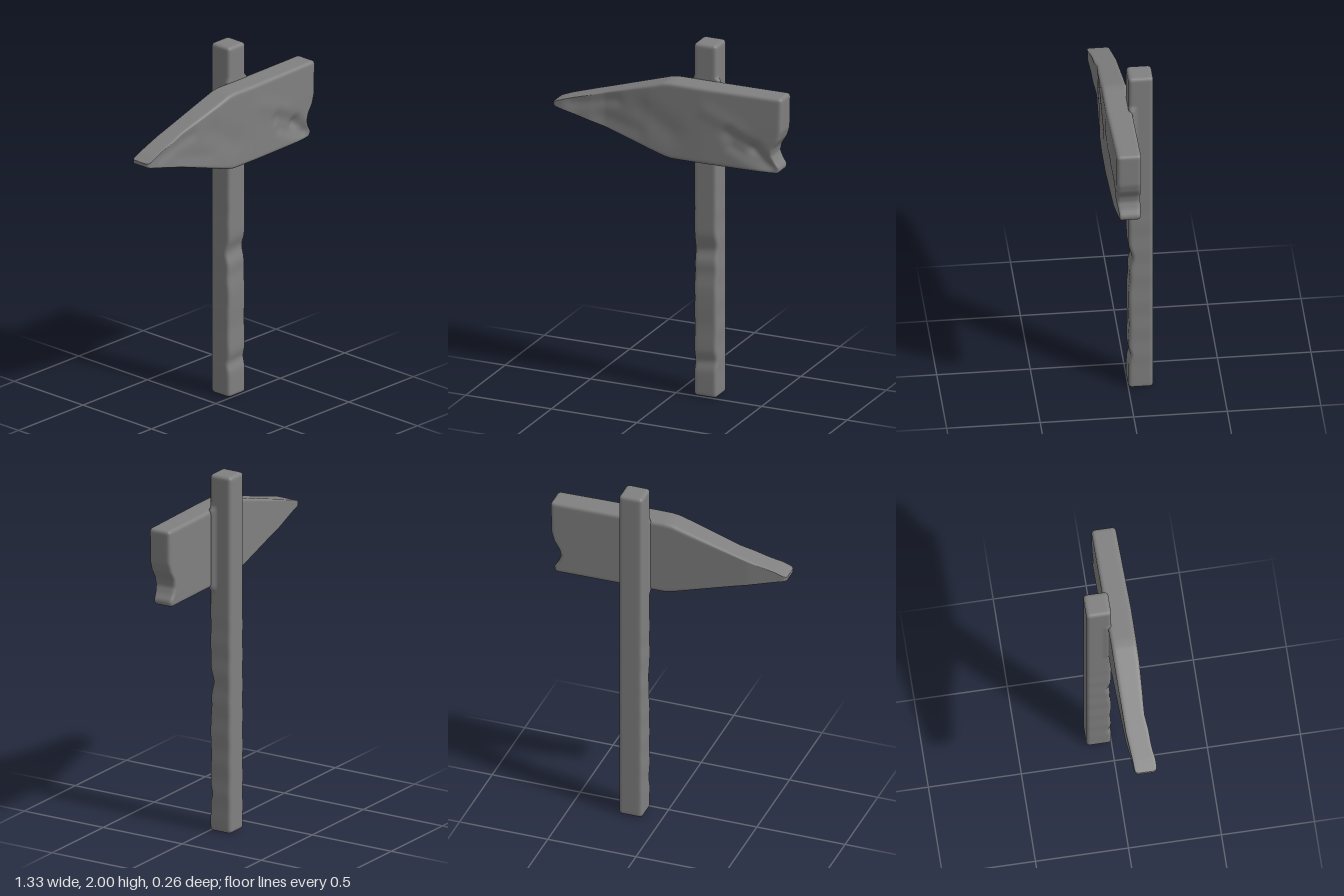
import * as THREE from 'three';
import { mergeVertices } from 'three/addons/utils/BufferGeometryUtils.js';

const { clamp, lerp, smoothstep } = THREE.MathUtils;
const bump = (d, width) => Math.exp(-(d * d) / (width * width));

// Piecewise-linear profile through [position, value] pairs
function profile(points, t) {
  if (t <= points[0][0]) return points[0][1];
  for (let i = 1; i < points.length; i++) {
    const [a, va] = points[i - 1], [b, vb] = points[i];
    if (t <= b) return lerp(va, vb, (t - a) / (b - a));
  }
  return points[points.length - 1][1];
}

// Distance from (x, y) to a segment
function toSegment(x, y, [ax, ay], [bx, by]) {
  const dx = bx - ax, dy = by - ay;
  const t = clamp(((x - ax) * dx + (y - ay) * dy) / (dx * dx + dy * dy), 0, 1);
  return Math.hypot(x - ax - t * dx, y - ay - t * dy);
}

// Finely divided block with rounded edges, its vertices then moved by a rule
function carvedBlock(size, segments, radius, rule) {
  const geometry = new THREE.BoxGeometry(1, 1, 1, ...segments);
  geometry.deleteAttribute('uv');
  geometry.deleteAttribute('normal');
  const pos = geometry.attributes.position;
  const rim = 3; // grid rows spent on each rounded edge
  const p = new THREE.Vector3(), inner = new THREE.Vector3();
  for (let i = 0; i < pos.count; i++) {
    p.fromBufferAttribute(pos, i);
    ['x', 'y', 'z'].forEach((axis, k) => {
      const n = segments[k], half = size[k] / 2, row = Math.round((p[axis] + 0.5) * n);
      p[axis] = profile([[0, -half], [rim, radius - half], [n - rim, half - radius], [n, half]], row);
      inner[axis] = clamp(p[axis], radius - half, half - radius);
    });
    p.sub(inner).setLength(radius).add(inner);
    rule(p);
    pos.setXYZ(i, p.x, p.y, p.z);
  }
  const merged = mergeVertices(geometry, 1e-5);
  merged.computeVertexNormals();
  return merged;
}

// Post: worn front, slight waviness, and a small fillet where the board is fixed
function shapePost(p) {
  p.x += 0.168;
  p.y += 1;
  p.z -= 0.067;
  const front = smoothstep(p.z, -0.1, -0.01);
  const slant = p.y - 0.12 * (p.x - 0.168);
  p.z -= front * (0.02 * bump(slant - 0.83, 0.055) + 0.012 * bump(slant - 0.2, 0.035)
    + 0.007 * bump(slant - 0.7, 0.06) + 0.004 * bump(slant - 0.4, 0.08));
  const wear = smoothstep(p.y, 0.02, 0.2) * (1 - smoothstep(p.y, 1.0, 1.3));
  p.x += 0.001 * wear * Math.sin(p.y * 37);
  const joint = smoothstep(p.y, 1.34, 1.37) * (1 - smoothstep(p.y, 1.8, 1.82));
  const reach = p.x > 0.168 ? 0.016 : 0.006;
  p.x += Math.sign(p.x - 0.168) * reach * joint * smoothstep(p.z, -0.05, -0.018);
}

// Outlines of the board, by x (top, bottom, front, back) and by y (right end)
const TOP = [[-0.665, 1.592], [-0.6, 1.618], [-0.36, 1.69], [-0.02, 1.795], [0.02, 1.8], [0.66, 1.8]];
const BOTTOM = [[-0.665, 1.572], [-0.35, 1.478], [-0.02, 1.375], [0.02, 1.367], [0.66, 1.367]];
const FRONT = [[-0.665, 0.13], [-0.6, 0.13], [-0.52, 0.121], [-0.45, 0.118], [-0.37, 0.108],
  [-0.25, 0.113], [-0.1, 0.12], [0.2, 0.12], [0.66, 0.106]];
const BACK = [[-0.665, 0.012], [-0.6, 0.008], [-0.45, -0.007], [-0.1, -0.015], [0.66, -0.025]];
const END = [[1.37, 0.64], [1.4, 0.643], [1.43, 0.622], [1.47, 0.606], [1.51, 0.614],
  [1.56, 0.645], [1.61, 0.66], [1.8, 0.664]];

// Creases on the front: start, end, depth, width (negative depth is a ridge)
const CREASES = [
  [[0.36, 1.56], [0.5, 1.49], 0.011, 0.04],
  [[0.5, 1.49], [0.62, 1.39], 0.018, 0.032],
  [[0.38, 1.49], [0.56, 1.4], 0.008, 0.03],
  [[0.24, 1.67], [0.42, 1.59], -0.004, 0.045],
  [[-0.14, 1.62], [0.02, 1.52], 0.006, 0.07],
  [[-0.55, 1.6], [-0.3, 1.65], 0.006, 0.035],
  [[-0.4, 1.55], [-0.18, 1.5], 0.004, 0.045],
];

// Board: a thick pointed plank with a bitten end and a creased front
function shapeBoard(p) {
  const v = p.y / 0.43 + 0.5, w = p.z / 0.13 + 0.5;
  const x0 = p.x;
  p.y = lerp(profile(BOTTOM, x0), profile(TOP, x0), v);
  p.x -= (0.6625 - profile(END, p.y)) * smoothstep(x0, 0.35, 0.66);
  p.z = lerp(profile(BACK, x0), profile(FRONT, x0), w);
  const front = smoothstep(w, 0.5, 1);
  for (const [a, b, depth, width] of CREASES) {
    p.z -= front * depth * bump(toSegment(p.x, p.y, a, b), width);
  }
}

export function createModel() {
  const group = new THREE.Group();
  const material = new THREE.MeshStandardMaterial({ color: 0x808080 });
  const add = (name, geometry) => {
    const mesh = new THREE.Mesh(geometry, material);
    mesh.name = name;
    group.add(mesh);
  };
  add('post', carvedBlock([0.134, 2, 0.134], [14, 150, 18], 0.02, shapePost));
  add('arrowBoard', carvedBlock([1.325, 0.43, 0.13], [110, 40, 12], 0.02, shapeBoard));
  return group;
}
